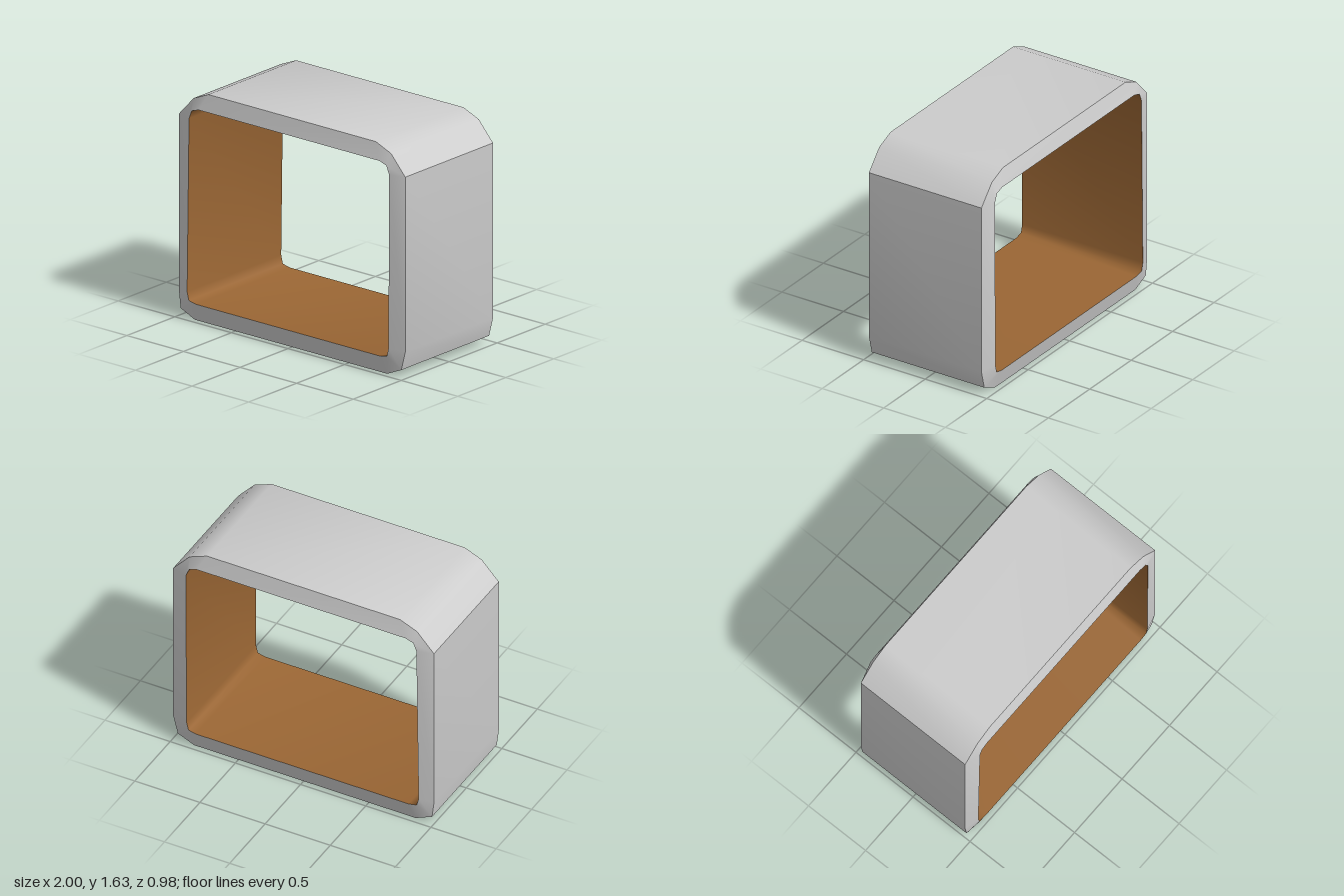
import * as THREE from 'three';
import { toCreasedNormals } from 'three/addons/utils/BufferGeometryUtils.js';

// Outlines run counter-clockwise as seen from the front
const outer = [
  [-0.86, 0], [0.84, 0], [0.965, 0.055], [1, 0.19], [1, 1.44], [0.875, 1.58],
  [0.74, 1.635], [-0.74, 1.635], [-0.87, 1.58], [-1, 1.44], [-1, 0.18], [-0.985, 0.055],
];
const inner = [
  [-0.82, 0.127], [0.81, 0.127], [0.865, 0.14], [0.88, 0.2], [0.885, 1.44], [0.86, 1.5],
  [0.8, 1.52], [-0.8, 1.52], [-0.86, 1.5], [-0.883, 1.44], [-0.9, 0.2], [-0.885, 0.14],
];
const OUTER_Z = 0.457, INNER_Z = 0.49;

// Closed bands joining a series of loops, each given as [outline, z]
function loft(loops, crease) {
  const pos = [];
  for (let k = 0; k < loops.length - 1; k++) {
    const [a, za] = loops[k], [b, zb] = loops[k + 1];
    for (let i = 0; i < a.length; i++) {
      const j = (i + 1) % a.length;
      pos.push(...a[i], za, ...b[i], zb, ...a[j], za);
      pos.push(...a[j], za, ...b[i], zb, ...b[j], zb);
    }
  }
  const geo = new THREE.BufferGeometry();
  geo.setAttribute('position', new THREE.Float32BufferAttribute(pos, 3));
  return toCreasedNormals(geo, THREE.MathUtils.degToRad(crease));
}

export function createModel() {
  const group = new THREE.Group();
  const shellGrey = new THREE.MeshStandardMaterial({ name: 'shellGrey', color: 0xcccccc });
  const woodBrown = new THREE.MeshStandardMaterial({ name: 'woodBrown', color: 0x9a6634 });

  const add = (name, loops, crease, material) => {
    const mesh = new THREE.Mesh(loft(loops, crease), material);
    mesh.name = name;
    group.add(mesh);
  };

  // Outer wall with rounded corners
  add('outerShell', [[outer, OUTER_Z], [outer, -OUTER_Z]], 36, shellGrey);
  // Sloping rims around both openings
  add('frontRim', [[inner, INNER_Z], [outer, OUTER_Z]], 45, shellGrey);
  add('backRim', [[outer, -OUTER_Z], [inner, -INNER_Z]], 45, shellGrey);
  // Lining of the open middle
  add('innerLining', [[inner, -INNER_Z], [inner, INNER_Z]], 70, woodBrown);

  return group;
}
